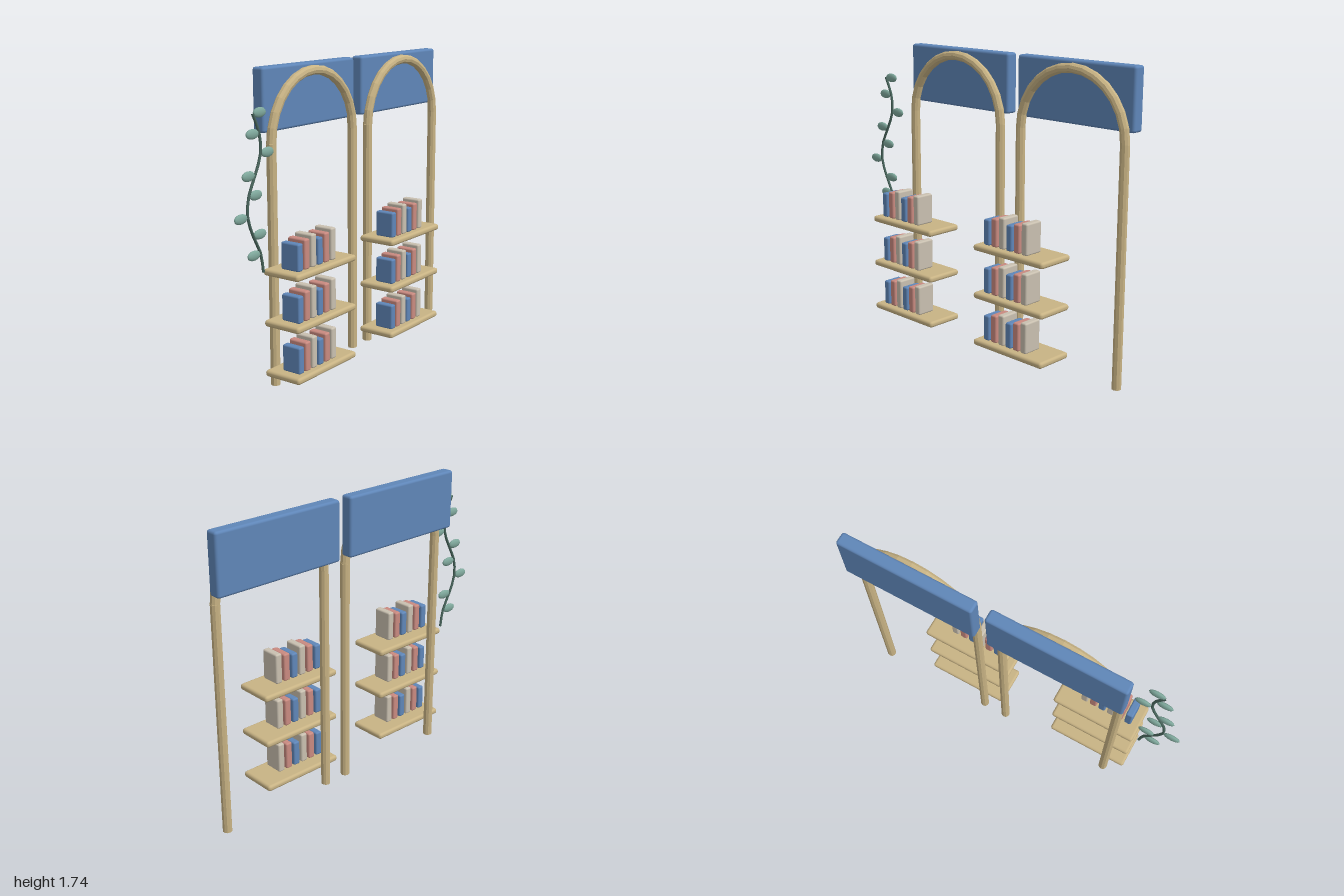
import * as THREE from 'three';
import { RoundedBoxGeometry } from 'three/addons/geometries/RoundedBoxGeometry.js';

const mat = (name, color, flatShading = false) => {
  const m = new THREE.MeshStandardMaterial({ color, flatShading });
  m.name = name;
  return m;
};

export function createModel() {
  const blue = mat('blue', 0x5f86b8);
  const wood = mat('wood', 0xc8b384);
  const pole = mat('wood', 0xc8b384, true);
  pole.name = 'pole wood';
  const pink = mat('pink', 0xc98a80);
  const beige = mat('beige', 0xc9c0b0);
  const leafGreen = mat('leaf green', 0x7fa89c);
  const stemGreen = mat('stem green', 0x4a675e);

  const model = new THREE.Group();
  model.name = 'archShelves';

  const add = (parent, name, geometry, material, x, y, z) => {
    const mesh = new THREE.Mesh(geometry, material);
    mesh.name = name;
    mesh.position.set(x, y, z);
    parent.add(mesh);
    return mesh;
  };
  const box = (w, h, d, r) => new RoundedBoxGeometry(w, h, d, 2, r);

  // Shared sizes of one bay, centred on its own x = 0
  const archR = 0.36, springY = 1.342, poleR = 0.027, poleZ = -0.088;
  const arcPoints = [];
  for (let i = 0; i <= 28; i++) {
    const a = Math.PI * (1 - i / 28);
    arcPoints.push(new THREE.Vector3(archR * Math.cos(a), archR * Math.sin(a), 0));
  }
  const archGeo = new THREE.TubeGeometry(new THREE.CatmullRomCurve3(arcPoints), 14, poleR, 10);
  const postGeo = new THREE.CylinderGeometry(poleR, poleR, springY, 10);
  const panelGeo = box(0.802, 0.342, 0.075, 0.015);
  const shelfGeo = box(0.52, 0.037, 0.236, 0.016);
  const bookKinds = [
    { name: 'blueBook', h: 0.15, material: blue },
    { name: 'pinkBook', h: 0.165, material: pink },
    { name: 'beigeBook', h: 0.18, material: beige },
  ].map((k) => ({ ...k, geo: box(0.043, k.h, 0.119, 0.01) }));

  for (const [side, cx] of [['right', -0.277], ['left', 0.598]]) {
    const bay = new THREE.Group();
    bay.name = side + 'Bay';
    bay.position.x = cx;
    model.add(bay);

    // Back panel, arch and posts
    add(bay, 'headPanel', panelGeo, blue, 0, 1.571, -0.14);
    add(bay, 'arch', archGeo, pole, 0, springY, poleZ);
    for (const s of [-1, 1]) add(bay, 'post', postGeo, pole, s * archR, springY / 2, poleZ);

    // Three shelves, each with six books
    for (const y of [0.109, 0.393, 0.677]) {
      add(bay, 'shelf', shelfGeo, wood, -0.218, y, 0.056);
      for (let i = 0; i < 6; i++) {
        const k = bookKinds[i % 3];
        add(bay, k.name, k.geo, k.material, -0.405 + i * 0.0568, y + 0.0185 + k.h / 2, 0.079);
      }
    }
  }

  // Hanging vine: wavy stem with leaves alternating side to side
  const vine = new THREE.Group();
  vine.name = 'vine';
  vine.position.z = -0.03;
  model.add(vine);
  const stemX = [-0.845, -0.797, -0.79, -0.834, -0.887, -0.898, -0.86, -0.805, -0.786];
  const joints = stemX.map((x, i) => new THREE.Vector3(x, 1.53 - i * 0.105, 0));
  const stemCurve = new THREE.CatmullRomCurve3(joints);
  add(vine, 'stem', new THREE.TubeGeometry(stemCurve, 16, 0.008, 6), stemGreen, 0, 0, 0);
  const leafGeo = new THREE.SphereGeometry(1, 12, 8);
  for (let i = 0; i < 8; i++) {
    const p = joints[i];
    const leaf = add(vine, 'leaf', leafGeo, leafGreen, p.x + (i % 2 ? -0.053 : 0.053), p.y, 0);
    leaf.scale.set(0.049, 0.027, 0.014);
  }
  return model;
}
